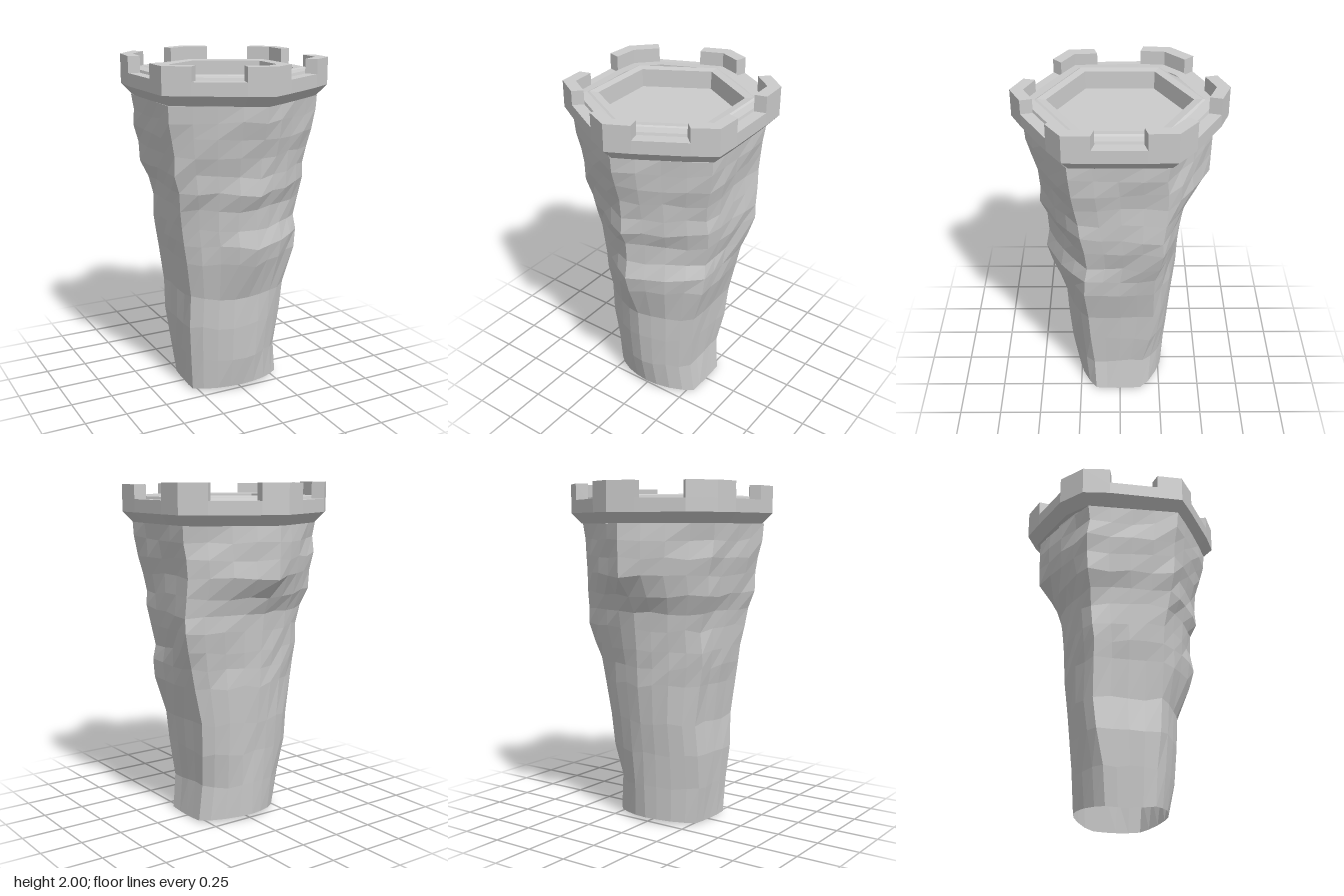
import * as THREE from 'three';

const SIDES = 6, SPLIT = 4;

// height, reach to -x, +x, +z, -z, z of the front and back side corners,
// then how far the left front and right back corners stand out
const COURSES = [
  [0.00, 0.28, 0.29, 0.27, 0.27, 0.15, 0.13, 1, 0.95],
  [0.22, 0.295, 0.27, 0.31, 0.285, 0.16, 0.14, 1, 1],
  [0.43, 0.31, 0.295, 0.325, 0.295, 0.18, 0.18, 1, 1],
  [0.62, 0.305, 0.31, 0.335, 0.315, 0.19, 0.20, 1, 1],
  [0.84, 0.335, 0.36, 0.42, 0.34, 0.20, 0.20, 1.03, 1],
  [0.95, 0.35, 0.38, 0.44, 0.345, 0.20, 0.20, 1.02, 1.01],
  [1.05, 0.37, 0.41, 0.43, 0.35, 0.205, 0.22, 0.92, 0.98],
  [1.17, 0.38, 0.44, 0.435, 0.36, 0.22, 0.24, 0.91, 0.95],
  [1.27, 0.395, 0.45, 0.465, 0.38, 0.24, 0.24, 0.93, 0.95],
  [1.37, 0.42, 0.44, 0.46, 0.43, 0.25, 0.25, 0.95, 1],
  [1.48, 0.43, 0.44, 0.48, 0.51, 0.26, 0.26, 0.97, 1],
  [1.58, 0.45, 0.45, 0.51, 0.515, 0.265, 0.26, 1, 1],
  [1.68, 0.46, 0.46, 0.53, 0.52, 0.27, 0.25, 1, 1],
  [1.77, 0.47, 0.47, 0.54, 0.52, 0.28, 0.26, 1, 1],
];

// parapet outline as x, z: each corner sits between the two ends of its merlon
const OUTLINE = [
  [0.01, 0.6], [0.14, 0.535], [0.4, 0.385], [0.525, 0.3], [0.53, 0.15], [0.53, -0.14],
  [0.525, -0.3], [0.4, -0.4], [0.15, -0.545], [0.01, -0.6], [-0.135, -0.54], [-0.39, -0.425],
  [-0.515, -0.3], [-0.53, -0.14], [-0.52, 0.15], [-0.515, 0.3], [-0.38, 0.385], [-0.125, 0.535],
];

function seeded(seed) {
  return () => {
    seed = (seed * 16807) % 2147483647;
    return seed / 2147483647 - 0.5;
  };
}

// skin over closed rings of [x, y, z] points
function loft(rings) {
  const n = rings[0].length, indices = [];
  for (let row = 0; row < rings.length - 1; row++) {
    for (let k = 0; k < n; k++) {
      const a = row * n + k, b = row * n + ((k + 1) % n);
      indices.push(a, b, b + n, a, b + n, a + n);
    }
  }
  const geo = new THREE.BufferGeometry();
  geo.setAttribute('position', new THREE.Float32BufferAttribute(rings.flat(2), 3));
  geo.setIndex(indices);
  geo.computeVertexNormals();
  return geo;
}

// uneven hexagonal shaft, open underneath
function shaftGeometry() {
  const rand = seeded(71);
  return loft(COURSES.map(([y, left, right, front, back, zF, zB, outLF, outRB], row) => {
    const last = row === COURSES.length - 1;
    const rough = last ? 0 : y < 0.7 ? 0.02 : 0.04;
    const corners = [
      [0, front], [right * outLF, zF * outLF], [right, -zB],
      [0, -back], [-left * outRB, -zB * outRB], [-left, zF],
    ].map(([x, z]) => new THREE.Vector2(x, z));
    const ring = [];
    for (let k = 0; k < SIDES * SPLIT; k++) {
      const side = Math.floor(k / SPLIT), t = (k % SPLIT) / SPLIT;
      const p = corners[side].clone().lerp(corners[(side + 1) % SIDES], t);
      // slanted sides swell outwards, most near the foot and at the back
      const swell = side % 3 === 1 ? 0 : (p.y < 0 ? 0.28 : 0.22) * (1 - y / 2.1);
      p.multiplyScalar((1 + swell * t * (1 - t) * 2) * (1 + rand() * rough));
      const lift = row === 0 ? 0.4 * p.y * p.y : last ? 0 : rand() * 0.025;
      ring.push([p.x, y + lift, p.y]);
    }
    return ring;
  }));
}

// flared band, sill and step up to the walkway
function parapetGeometry() {
  const profile = [
    [0.52, 1.77], [0.54, 1.77], [0.6, 1.83], [0.6, 1.905],
    [0.525, 1.905], [0.52, 1.92], [0.455, 1.925],
  ];
  return loft(profile.map(([r, y]) => OUTLINE.map(([x, z]) => [x * r / 0.6, y, z * r / 0.6])));
}

// angled block wrapped round one corner of the parapet
function merlonGeometry(i) {
  const n = OUTLINE.length, bottom = 1.89;
  const top = OUTLINE[3 * i][1] < 0 ? 2 : 1.987;
  const ends = [3 * i + n - 1, 3 * i, 3 * i + 1].map((k) => OUTLINE[k % n]);
  const inner = ends.map(([x, z]) => [x * 0.875, z * 0.875]).reverse();
  // the shape lies in x and -z, so turning it about x stands it up
  const shape = new THREE.Shape([...ends, ...inner].map(([x, z]) => new THREE.Vector2(x, -z)));
  const geo = new THREE.ExtrudeGeometry(shape, { depth: top - bottom, bevelEnabled: false });
  geo.rotateX(-Math.PI / 2);
  geo.translate(0, bottom, 0);
  return geo;
}

export function createModel() {
  const tower = new THREE.Group();
  tower.name = 'tower';
  const stone = new THREE.MeshStandardMaterial({
    color: 0xcccccc, flatShading: true, side: THREE.DoubleSide,
  });
  const add = (name, geo, parent = tower) => {
    const mesh = new THREE.Mesh(geo, stone);
    mesh.name = name;
    parent.add(mesh);
  };

  add('shaft', shaftGeometry());
  add('parapet', parapetGeometry());

  // raised rim round the sunken floor
  const well = [[0.49, 1.915], [0.455, 1.93], [0.405, 1.925], [0.4, 1.82], [0, 1.82]]
    .map(([r, y]) => new THREE.Vector2(r, y));
  add('rimAndFloor', new THREE.LatheGeometry(well, SIDES).translate(0.008, 0, 0));

  const battlements = new THREE.Group();
  battlements.name = 'battlements';
  tower.add(battlements);
  for (let i = 0; i < SIDES; i++) add(`merlon${i + 1}`, merlonGeometry(i), battlements);

  return tower;
}
